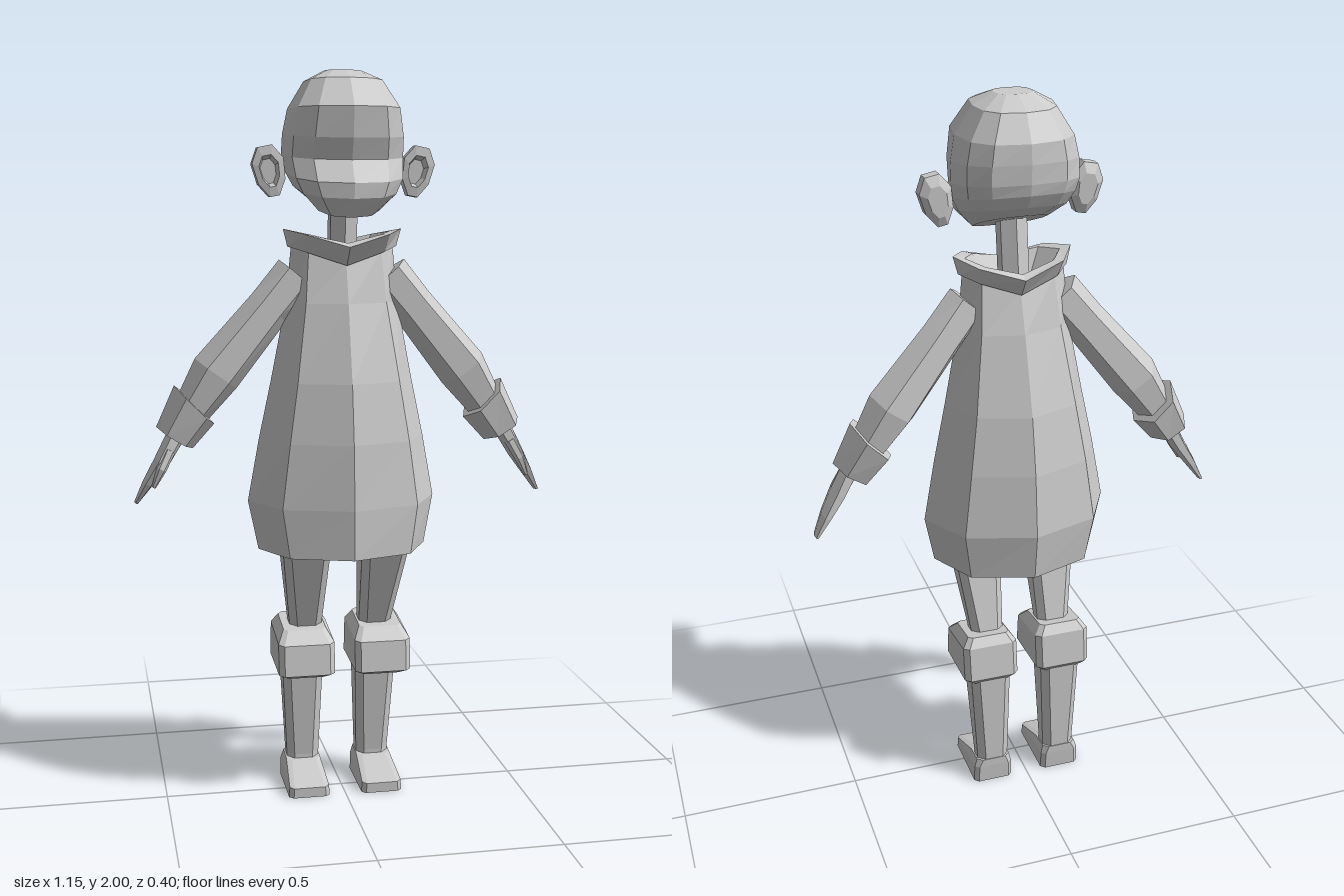
import * as THREE from 'three';

const grey = new THREE.MeshStandardMaterial({ color: 0xcccccc, flatShading: true, side: THREE.DoubleSide });

// Skin over cross-sections (each counter-clockwise about the direction of travel).
function loft(name, rings, { capStart = true, capEnd = true, side = 1 } = {}) {
  // side = -1 mirrors the part to the other half of the body
  const sets = side > 0 ? rings : rings.map(r => r.map(([x, y, z]) => [-x, y, z]).reverse());
  const pos = [], n = sets[0].length;
  const tri = (a, b, c) => pos.push(...a, ...b, ...c);
  const cap = (ring, flip) => {
    const mid = [0, 1, 2].map(k => ring.reduce((s, p) => s + p[k], 0) / n);
    ring.forEach((p, j) => {
      const q = ring[(j + 1) % n];
      if (flip) tri(mid, q, p); else tri(mid, p, q);
    });
  };
  for (let i = 0; i + 1 < sets.length; i++) {
    for (let j = 0; j < n; j++) {
      const k = (j + 1) % n, lo = sets[i], hi = sets[i + 1];
      tri(lo[j], lo[k], hi[k]);
      tri(lo[j], hi[k], hi[j]);
    }
  }
  if (capStart) cap(sets[0], true);
  if (capEnd) cap(sets[sets.length - 1], false);
  const geo = new THREE.BufferGeometry();
  geo.setAttribute('position', new THREE.Float32BufferAttribute(pos, 3));
  geo.computeVertexNormals();
  const mesh = new THREE.Mesh(geo, grey);
  mesh.name = name;
  return mesh;
}

// Level or tilted oval: front height/depth, back height/depth, half width,
// rise = how much higher the sides sit, power < 1 squares it off.
function oval(n, yF, zF, yB, zB, hx, rise = 0, power = 1) {
  const soft = v => Math.sign(v) * Math.abs(v) ** power;
  return Array.from({ length: n }, (_, i) => {
    const a = i / n * Math.PI * 2, s = soft(Math.sin(a)), c = soft(Math.cos(a));
    const t = (c + 1) / 2;
    return [hx * s, yB + (yF - yB) * t + rise * Math.abs(s), zB + (zF - zB) * t];
  });
}

// Chamfered rectangle for legs: z runs from back to front, tilt lowers the front.
function block(x, y, zF, zB, hx, cut = 0.02, tilt = 0) {
  const cz = (zF + zB) / 2, hz = (zF - zB) / 2, a = hx - cut, b = hz - cut;
  return [[-a, hz], [a, hz], [hx, b], [hx, -b], [a, -hz], [-a, -hz], [-hx, -b], [-hx, b]]
    .map(([dx, dz]) => [x + dx, y - tilt * dz, cz + dz]);
}

// Six-sided section of a limb hanging outward; angle is its tilt in degrees.
function limb(x, y, z, hw, hz, angle) {
  const t = angle * Math.PI / 180;
  return Array.from({ length: 6 }, (_, i) => {
    const a = i * Math.PI / 3, u = hw * Math.cos(a), v = hz * Math.sin(a) / 0.866;
    return [x + u * Math.cos(t), y + u * Math.sin(t), z + v];
  });
}

// Dished ear, built from back to front and then into the hollow
function ear(side) {
  const tilt = -0.2;
  const rings = [[0.6, 0], [1, 0.012], [1, 0.047], [0.62, 0.05], [0.48, 0.022]].map(([s, z]) =>
    Array.from({ length: 8 }, (_, i) => {
      const a = (i + 0.5) * Math.PI / 4;
      const x = 0.043 * s * Math.cos(a) * (1 + 0.2 * Math.sin(a)), y = 0.072 * s * Math.sin(a);
      return [0.2 + x * Math.cos(tilt) - y * Math.sin(tilt), 1.738 + x * Math.sin(tilt) + y * Math.cos(tilt), z];
    }));
  return loft('ear', rings, { side });
}

export function createModel() {
  const model = new THREE.Group();
  model.name = 'child';

  // Head, with jaw, eye hollow and brow
  const head = [
    [1.617, 0.155, 1.705, -0.075, 0.09],
    [1.665, 0.188, 1.735, -0.11, 0.138],
    [1.705, 0.19, 1.77, -0.13, 0.158],
    [1.765, 0.155, 1.8, -0.136, 0.165],
    [1.82, 0.175, 1.85, -0.138, 0.163],
    [1.9, 0.185, 1.9, -0.134, 0.15],
    [1.975, 0.128, 1.968, -0.095, 0.105],
    [2.0, 0.06, 2.0, -0.03, 0.05],
  ].map(([yF, zF, yB, zB, hx]) => oval(12, yF, zF, yB, zB, hx, 0, 0.75));
  model.add(loft('head', head));

  // Neck, leaning forward
  model.add(loft('neck', [
    oval(6, 1.46, 0.045, 1.46, -0.045, 0.042),
    oval(6, 1.7, 0.075, 1.72, -0.01, 0.042),
  ]));

  // Tunic, open at hem and neck
  const tunic = [
    [0.71, 0.2, -0.18, 0.235],
    [0.845, 0.2, -0.198, 0.262],
    [1.02, 0.188, -0.182, 0.23],
    [1.18, 0.163, -0.152, 0.196],
    [1.39, 0.108, -0.09, 0.155],
  ].map(([y, zF, zB, hx]) => oval(8, y, zF, y, zB, hx));
  tunic.push(oval(8, 1.495, 0.075, 1.495, -0.052, 0.14, 0.045));
  model.add(loft('tunic', tunic, { capStart: false, capEnd: false }));

  // Flared collar, folded over at the rim
  model.add(loft('collar', [
    oval(8, 1.49, 0.085, 1.49, -0.06, 0.15, 0.05),
    oval(8, 1.54, 0.13, 1.54, -0.095, 0.162, 0.047),
    oval(8, 1.55, 0.1, 1.55, -0.07, 0.13, 0.03),
    oval(8, 1.49, 0.06, 1.49, -0.045, 0.08, 0.01),
  ], { capStart: false, capEnd: false }));

  for (const side of [1, -1]) {
    model.add(ear(side));

    // Sleeve, cuff and mitten-like hand with thumb
    model.add(loft('sleeve', [
      limb(0.125, 1.465, 0.01, 0.062, 0.04, 40),
      limb(0.2, 1.375, 0.005, 0.06, 0.05, 40),
      limb(0.345, 1.2, -0.005, 0.07, 0.07, 36),
      limb(0.42, 1.09, -0.005, 0.05, 0.055, 38),
    ], { side }));
    model.add(loft('cuff', [
      limb(0.405, 1.115, -0.008, 0.076, 0.084, 45),
      limb(0.46, 1.027, -0.002, 0.058, 0.064, 32),
    ], { side }));
    model.add(loft('hand', [
      limb(0.455, 1.04, 0.012, 0.026, 0.03, 32),
      limb(0.497, 0.965, 0.015, 0.022, 0.04, 32),
      limb(0.535, 0.905, 0.004, 0.015, 0.032, 28),
      limb(0.567, 0.85, -0.006, 0.006, 0.018, 20),
    ], { side }));
    model.add(loft('thumb', [
      limb(0.475, 1.0, 0.035, 0.016, 0.016, 32),
      limb(0.5, 0.95, 0.05, 0.014, 0.014, 30),
      limb(0.522, 0.9, 0.045, 0.006, 0.008, 30),
    ], { side }));

    // Thigh, knee pad and shin ending in a shoe
    model.add(loft('thigh', [
      block(0.102, 0.42, -0.005, -0.085, 0.045),
      block(0.1, 0.48, 0.005, -0.072, 0.046),
      block(0.11, 0.71, 0.1, -0.022, 0.066),
      block(0.11, 0.85, 0.13, 0.01, 0.07),
    ], { side }));
    model.add(loft('kneePad', [
      block(0.108, 0.345, 0.045, -0.115, 0.06, 0.012, 0.06),
      block(0.108, 0.362, 0.078, -0.13, 0.079, 0.015, 0.06),
      block(0.108, 0.455, 0.068, -0.118, 0.079, 0.015, 0.15),
      block(0.108, 0.485, 0.03, -0.1, 0.06, 0.012, 0.15),
    ], { side }));
    model.add(loft('shin', [
      block(0.102, 0.03, -0.045, -0.12, 0.046),
      block(0.102, 0.08, -0.045, -0.12, 0.046),
      block(0.106, 0.4, -0.01, -0.12, 0.06),
    ], { side }));
    model.add(loft('shoe', [
      block(0.104, 0, 0.08, -0.12, 0.058, 0.012),
      block(0.104, 0.04, 0.08, -0.122, 0.056, 0.012, 0.12),
      block(0.103, 0.072, -0.035, -0.122, 0.049, 0.015, 0.1),
    ], { side }));
  }
  return model;
}
